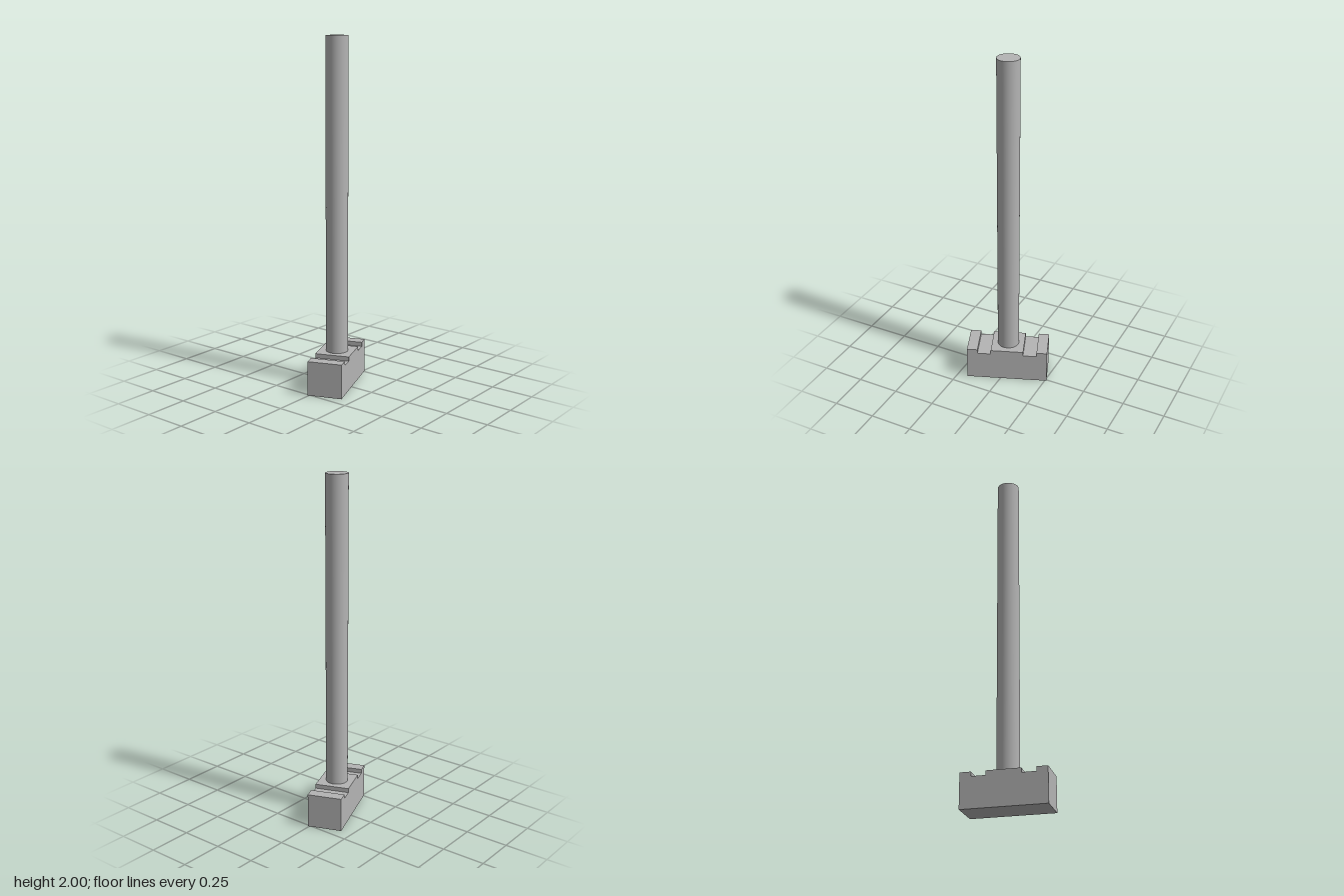
import * as THREE from 'three';

export function createModel() {
  const model = new THREE.Group();
  const grey = new THREE.MeshStandardMaterial({ color: 0xb4b4b4 });
  grey.name = 'grey';

  // Base block: a notched outline extruded across its width
  const halfLength = 0.24, width = 0.2, height = 0.2;
  const grooveInner = 0.097, grooveOuter = 0.177, grooveFloor = 0.175;
  const half = [
    [halfLength, 0], [halfLength, height],
    [grooveOuter, height], [grooveOuter, grooveFloor],
    [grooveInner, grooveFloor], [grooveInner, height],
  ];
  const mirrored = half.map(([x, y]) => [-x, y]).reverse();
  const outline = [...half, ...mirrored].map(([x, y]) => new THREE.Vector2(x, y));
  const baseGeometry = new THREE.ExtrudeGeometry(new THREE.Shape(outline), {
    depth: width, bevelEnabled: false,
  });
  baseGeometry.translate(0, 0, -width / 2);
  const base = new THREE.Mesh(baseGeometry, grey);
  base.name = 'groovedBase';
  base.rotation.y = THREE.MathUtils.degToRad(21);
  model.add(base);

  // Round post standing on the base
  const postHeight = 2 - height;
  const post = new THREE.Mesh(new THREE.CylinderGeometry(0.0635, 0.0635, postHeight, 64), grey);
  post.name = 'post';
  post.position.y = height + postHeight / 2;
  model.add(post);

  return model;
}
